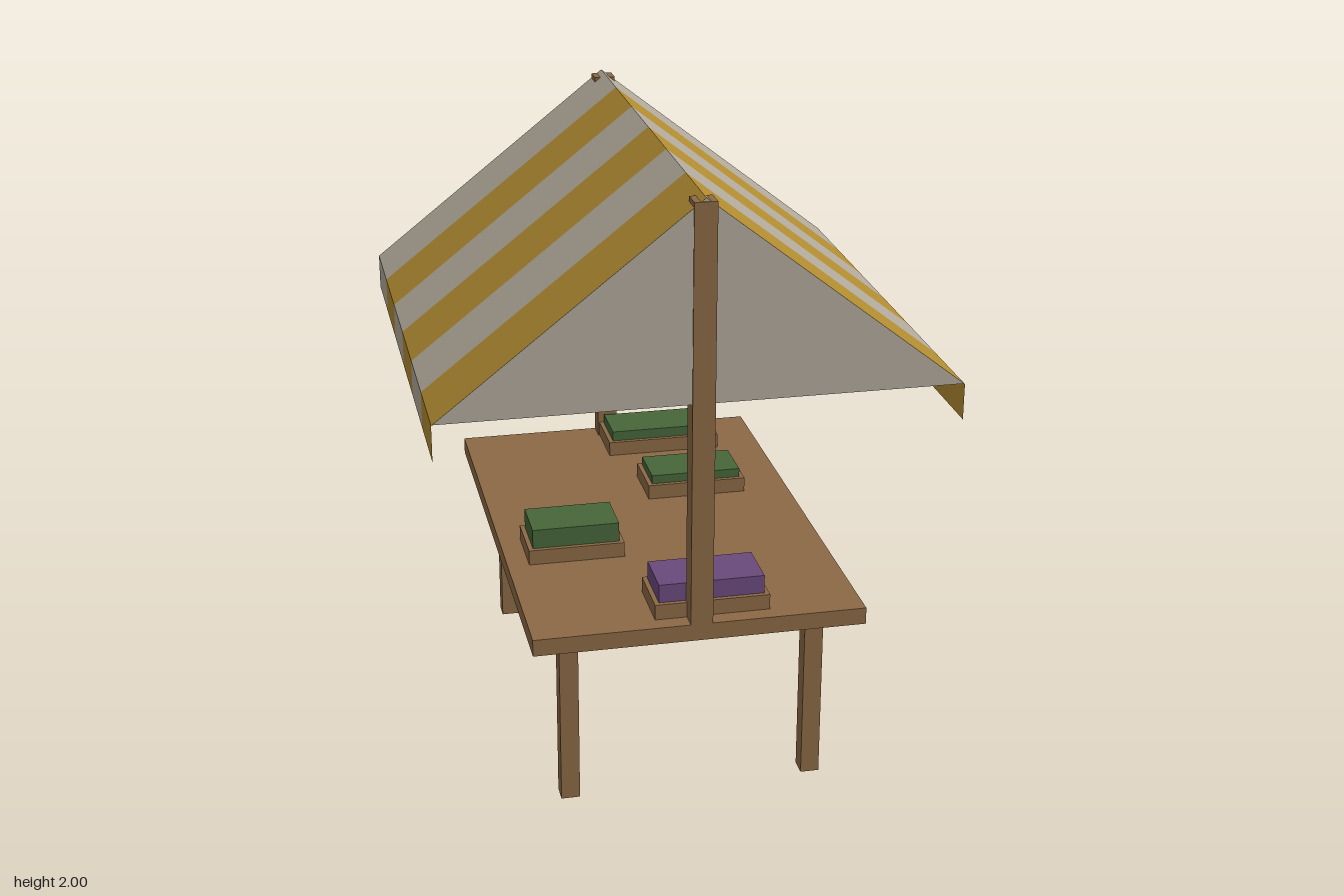
import * as THREE from 'three';

const mat = (name, color, side = THREE.FrontSide) => {
  const m = new THREE.MeshStandardMaterial({ color, side });
  m.name = name;
  return m;
};

// One canopy stripe: a bent sheet running from valance over the ridge to valance
function stripeGeometry(profile, z0, z1) {
  const pos = [];
  for (let i = 0; i < profile.length - 1; i++) {
    const [ax, ay] = profile[i], [bx, by] = profile[i + 1];
    pos.push(ax, ay, z1, bx, by, z1, bx, by, z0);
    pos.push(ax, ay, z1, bx, by, z0, ax, ay, z0);
  }
  const g = new THREE.BufferGeometry();
  g.setAttribute('position', new THREE.Float32BufferAttribute(pos, 3));
  g.computeVertexNormals();
  return g;
}

export function createModel() {
  const model = new THREE.Group();
  model.name = 'marketStall';

  const wood = mat('wood', 0x8b6945);
  const canvas = mat('pale canvas', 0xb0a89a, THREE.DoubleSide);
  const yellow = mat('yellow canvas', 0xb08a30, THREE.DoubleSide);
  const green = mat('green produce', 0x466639);
  const purple = mat('purple produce', 0x6a4a7c);

  const add = (name, geometry, material, parent = model) => {
    const mesh = new THREE.Mesh(geometry, material);
    mesh.name = name;
    parent.add(mesh);
    return mesh;
  };
  // Box given by its centre in x and z and its bottom and top heights
  const box = (name, x, z, y0, y1, w, d, material, parent) =>
    add(name, new THREE.BoxGeometry(w, y1 - y0, d), material, parent)
      .position.set(x, (y0 + y1) / 2, z);

  const L = 0.805, tableTop = 0.645;

  // Table, legs and the two canopy posts
  box('tableTop', 0, 0, 0.59, tableTop, 1.05, 2 * L, wood);
  for (const sz of [1, -1]) {
    for (const sx of [1, -1]) box('leg', sx * 0.395, sz * 0.65, 0, 0.59, 0.06, 0.06, wood);
    box('canopyPost', 0, sz * (L - 0.034), tableTop, 1.988, 0.07, 0.068, wood);
  }

  // Crates with a block of produce: x, z, width, produce top, colour
  const crates = [
    [0.047, 0.65, 0.365, 0.755, purple],
    [-0.297, 0.192, 0.315, 0.76, green],
    [0.2, -0.235, 0.34, 0.725, green],
    [0.17, -0.637, 0.4, 0.73, green],
  ];
  for (const [x, z, w, top, material] of crates) {
    const crate = new THREE.Group();
    crate.name = 'crate';
    model.add(crate);
    box('crateBase', x, z, tableTop, 0.695, w, 0.2, wood, crate);
    box('produce', x, z, 0.695, top, w - 0.03, 0.17, material, crate);
  }

  // Striped canopy with hanging valances
  const canopy = new THREE.Group();
  canopy.name = 'canopy';
  model.add(canopy);
  const profile = [[-L, 1.255], [-L, 1.37], [0, 2], [L, 1.37], [L, 1.255]];
  const count = 6, step = 2 * L / count;
  for (let i = 0; i < count; i++) {
    const z0 = -L + i * step;
    add('canopyStripe', stripeGeometry(profile, z0, z0 + step), i % 2 ? yellow : canvas, canopy);
  }

  // Triangular gable cloths closing both ends
  const triangle = new THREE.Shape(profile.slice(1, 4).map(([x, y]) => new THREE.Vector2(x, y)));
  for (const sz of [1, -1]) {
    const gable = add('gable', new THREE.ShapeGeometry(triangle), canvas, canopy);
    gable.position.z = sz * (L - 0.004);
    if (sz < 0) gable.rotation.y = Math.PI;
  }
  return model;
}
